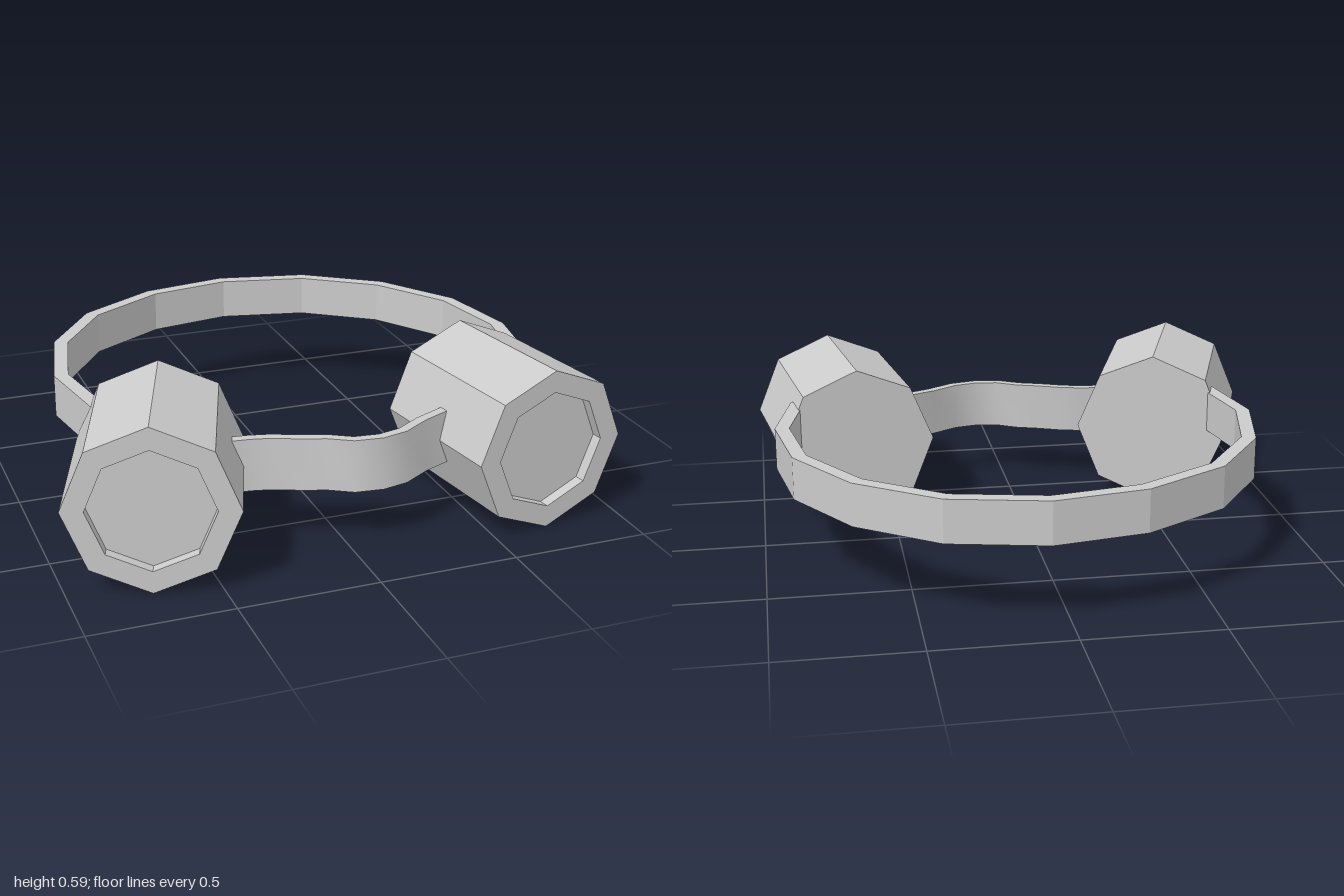
import * as THREE from 'three';
import { toCreasedNormals } from 'three/addons/utils/BufferGeometryUtils.js';

const flat = new THREE.MeshStandardMaterial({ color: 0xcccccc, flatShading: true });
const smooth = new THREE.MeshStandardMaterial({ color: 0xcccccc });

// Upright band: follows a plan path of [x, z] points, from y0 up to y1
function band(path, thickness, y0, y1) {
  const pts = path.map(([x, z]) => new THREE.Vector2(x, -z));
  const normals = pts.map((p, i) => {
    const a = pts[Math.max(i - 1, 0)], b = pts[Math.min(i + 1, pts.length - 1)];
    const t = b.clone().sub(a).normalize();
    return new THREE.Vector2(-t.y, t.x).multiplyScalar(thickness / 2);
  });
  const outer = pts.map((p, i) => p.clone().add(normals[i]));
  const inner = pts.map((p, i) => p.clone().sub(normals[i])).reverse();
  const geo = new THREE.ExtrudeGeometry(new THREE.Shape([...outer, ...inner]), { depth: y1 - y0, bevelEnabled: false });
  geo.rotateX(-Math.PI / 2);
  geo.translate(0, y0, 0);
  return geo;
}

// Octagonal eyecup with a shallow recessed lens at the front
function eyecup(name, x, z, turn) {
  const profile = [[0, -0.29], [0.295, -0.29], [0.295, 0.29], [0.215, 0.29], [0.215, 0.25], [0, 0.25]]
    .map(([r, h]) => new THREE.Vector2(r, h));
  const geo = new THREE.LatheGeometry(profile, 8);
  geo.rotateX(Math.PI / 2);
  const mesh = new THREE.Mesh(geo, flat);
  mesh.name = name;
  mesh.position.set(x, 0.295, z);
  mesh.rotation.y = turn;
  return mesh;
}

export function createModel() {
  const group = new THREE.Group();
  group.name = 'goggles';

  group.add(eyecup('rightEyecup', -0.63, 0.54, -0.335));
  group.add(eyecup('leftEyecup', 0.667, 0.541, 0.145));

  // Head strap looping round the back
  const strap = new THREE.Mesh(band([
    [-0.755, 0.28], [-0.81, -0.05], [-0.735, -0.38], [-0.545, -0.653], [-0.25, -0.83], [0.075, -0.888],
    [0.412, -0.815], [0.685, -0.618], [0.865, -0.33], [0.917, 0], [0.85, 0.33],
  ], 0.053, 0.3, 0.455), flat);
  strap.name = 'headStrap';
  group.add(strap);

  // Curved nose bridge, its lower edge leaning forward
  const bridgeGeo = band([
    [-0.375, 0.565], [-0.31, 0.572], [-0.24, 0.588], [-0.14, 0.63], [-0.06, 0.657], [0.02, 0.705],
    [0.115, 0.715], [0.205, 0.692], [0.305, 0.627], [0.42, 0.573],
  ], 0.036, 0.205, 0.392);
  const pos = bridgeGeo.attributes.position;
  for (let i = 0; i < pos.count; i++) {
    const lean = 0.06 + 0.15 * Math.max(0, pos.getX(i) - 0.1);
    pos.setZ(i, pos.getZ(i) + lean * (0.392 - pos.getY(i)));
  }
  const bridge = new THREE.Mesh(toCreasedNormals(bridgeGeo, 0.7), smooth);
  bridge.name = 'noseBridge';
  group.add(bridge);

  return group;
}
